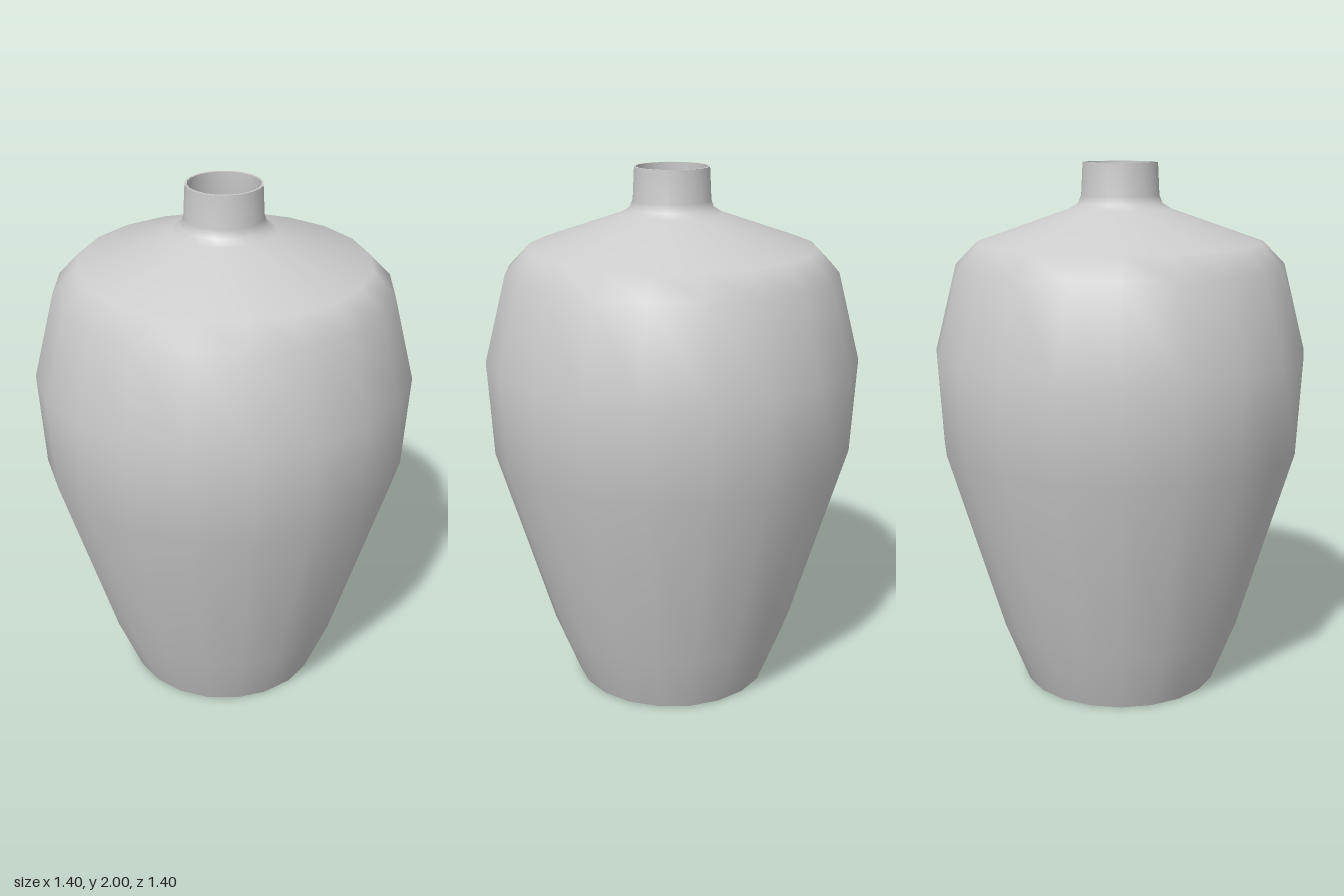
import * as THREE from 'three';

const SIDES = 20;

export function createModel() {
  const model = new THREE.Group();
  model.name = 'vase';
  const material = new THREE.MeshStandardMaterial({ color: 0xcccccc, side: THREE.DoubleSide });

  // Turns a [radius, height] profile around the y axis
  const turn = (name, profile) => {
    const points = profile.map(([r, y]) => new THREE.Vector2(r, y));
    const mesh = new THREE.Mesh(new THREE.LatheGeometry(points, SIDES), material);
    mesh.name = name;
    model.add(mesh);
  };

  // Outer wall: open foot, tapering belly, shoulder and narrow neck
  turn('body', [
    [0.375, 0], [0.47, 0.24], [0.68, 0.94], [0.70, 1.30], [0.617, 1.625],
    [0.535, 1.71], [0.19, 1.83], [0.157, 1.85], [0.145, 1.88], [0.139, 2],
  ]);

  // Thin flat rim and the inside of the neck
  turn('rim', [[0.139, 2], [0.131, 2]]);
  turn('neckInside', [[0.131, 2], [0.135, 1.88], [0.15, 1.845]]);

  return model;
}
